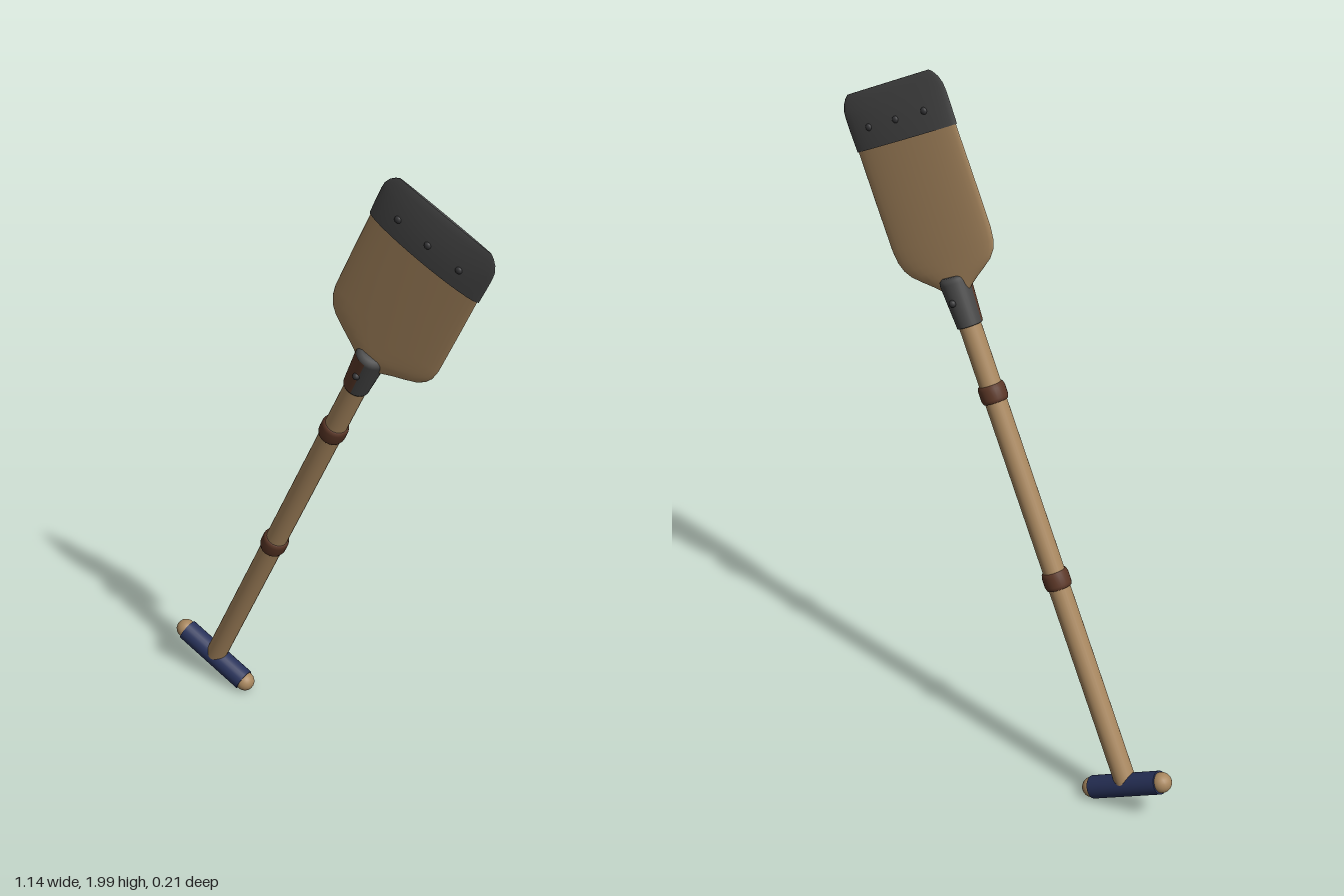
import * as THREE from 'three';

const mat = (name, color, extra = {}) => Object.assign(new THREE.MeshStandardMaterial({ color, ...extra }), { name });

export function createModel() {
  const wood = mat('wood', 0xa8875f);
  const iron = mat('dark iron', 0x464646);
  const rivetIron = mat('rivet iron', 0x343436);
  const leather = mat('brown leather', 0x5a3626);
  const strap = mat('reddish brown strap', 0x5c3a2a, { side: THREE.DoubleSide });
  const cloth = mat('navy cloth', 0x28325a);

  const model = new THREE.Group();
  model.name = 'paddle';
  // Everything is built along local +y from the grip, then leaned over.
  const body = new THREE.Group();
  body.name = 'leaningBody';
  body.position.set(-0.438, 0.081, -0.073);
  body.rotation.set(THREE.MathUtils.degToRad(4.4), 0, THREE.MathUtils.degToRad(-25), 'ZYX');
  model.add(body);

  const add = (name, geo, material, x = 0, y = 0, z = 0) => {
    const m = new THREE.Mesh(geo, material);
    m.name = name;
    m.position.set(x, y, z);
    body.add(m);
    return m;
  };
  const lathe = (pts) => new THREE.LatheGeometry(pts.map(([r, y]) => new THREE.Vector2(r, y)), 28);

  // Elliptical sections [y, half width, half thickness] joined into a closed skin
  const loft = (stations, n = 32) => {
    const pos = [], idx = [];
    for (const [y, w, t] of stations) {
      for (let i = 0; i < n; i++) {
        const a = (i / n) * Math.PI * 2;
        pos.push(w * Math.cos(a), y, t * Math.sin(a));
      }
    }
    const last = stations.length - 1;
    for (let j = 0; j < last; j++) {
      for (let i = 0; i < n; i++) {
        const a = j * n + i, b = j * n + (i + 1) % n;
        idx.push(a, a + n, b, b, a + n, b + n);
      }
    }
    // End caps with their own vertices so the rims stay crisp
    for (const [j, up] of [[0, false], [last, true]]) {
      const base = pos.length / 3;
      for (let i = 0; i < n * 3; i++) pos.push(pos[j * n * 3 + i]);
      for (let i = 1; i < n - 1; i++) {
        if (up) idx.push(base, base + i + 1, base + i);
        else idx.push(base, base + i, base + i + 1);
      }
    }
    const g = new THREE.BufferGeometry();
    g.setAttribute('position', new THREE.Float32BufferAttribute(pos, 3));
    g.setIndex(idx);
    g.computeVertexNormals();
    return g;
  };

  // Shaft
  add('shaft', new THREE.CylinderGeometry(0.031, 0.031, 1.44, 24), wood, 0, 0.72);

  // Cross grip with wooden end knobs
  add('gripWrap', new THREE.CylinderGeometry(0.033, 0.033, 0.232, 24), cloth).rotation.z = Math.PI / 2;
  for (const side of [-1, 1]) {
    add('gripKnob', new THREE.SphereGeometry(0.029, 20, 14), wood, side * 0.121);
  }

  // Leather bands
  for (const y of [0.624, 1.172]) {
    add('leatherBand', lathe([[0.03, -0.025], [0.035, -0.024], [0.038, -0.014],
      [0.038, 0.014], [0.035, 0.024], [0.03, 0.025]]), leather, 0, y);
  }

  // Iron socket, with a strap over its front right quarter
  add('socket', lathe([[0.03, 1.367], [0.036, 1.367], [0.036, 1.37], [0.043, 1.49],
    [0.041, 1.5], [0.032, 1.507], [0, 1.508]]), iron);
  add('socketStrap', new THREE.CylinderGeometry(0.0445, 0.0375, 0.126, 16, 1, true,
    -Math.PI * 0.45, Math.PI * 0.5), strap, 0, 1.433);

  // Wooden blade
  add('blade', loft([[1.455, 0.03, 0.014], [1.472, 0.05, 0.016], [1.49, 0.077, 0.017], [1.51, 0.11, 0.018],
    [1.53, 0.14, 0.018], [1.55, 0.158, 0.018], [1.575, 0.169, 0.018], [1.61, 0.174, 0.018],
    [1.75, 0.174, 0.018], [1.9, 0.173, 0.017]]), wood);

  // Iron edge, thinning to the tip
  add('bladeEdge', loft([[1.893, 0.177, 0.021], [1.94, 0.178, 0.02], [1.985, 0.178, 0.015],
    [2.005, 0.176, 0.012], [2.025, 0.168, 0.009], [2.04, 0.156, 0.006], [2.048, 0.145, 0.003]]), iron);

  // Rivets on both faces
  for (const side of [-1, 1]) {
    for (const x of [-0.098, 0, 0.098]) {
      const z = 0.0188 * Math.sqrt(1 - (x / 0.178) ** 2);
      add('edgeRivet', new THREE.SphereGeometry(0.01, 12, 8), rivetIron, x, 1.95, side * z).scale.z = 0.7;
    }
    add('socketRivet', new THREE.SphereGeometry(0.01, 12, 8), rivetIron, 0, 1.44, side * 0.041);
  }
  return model;
}
